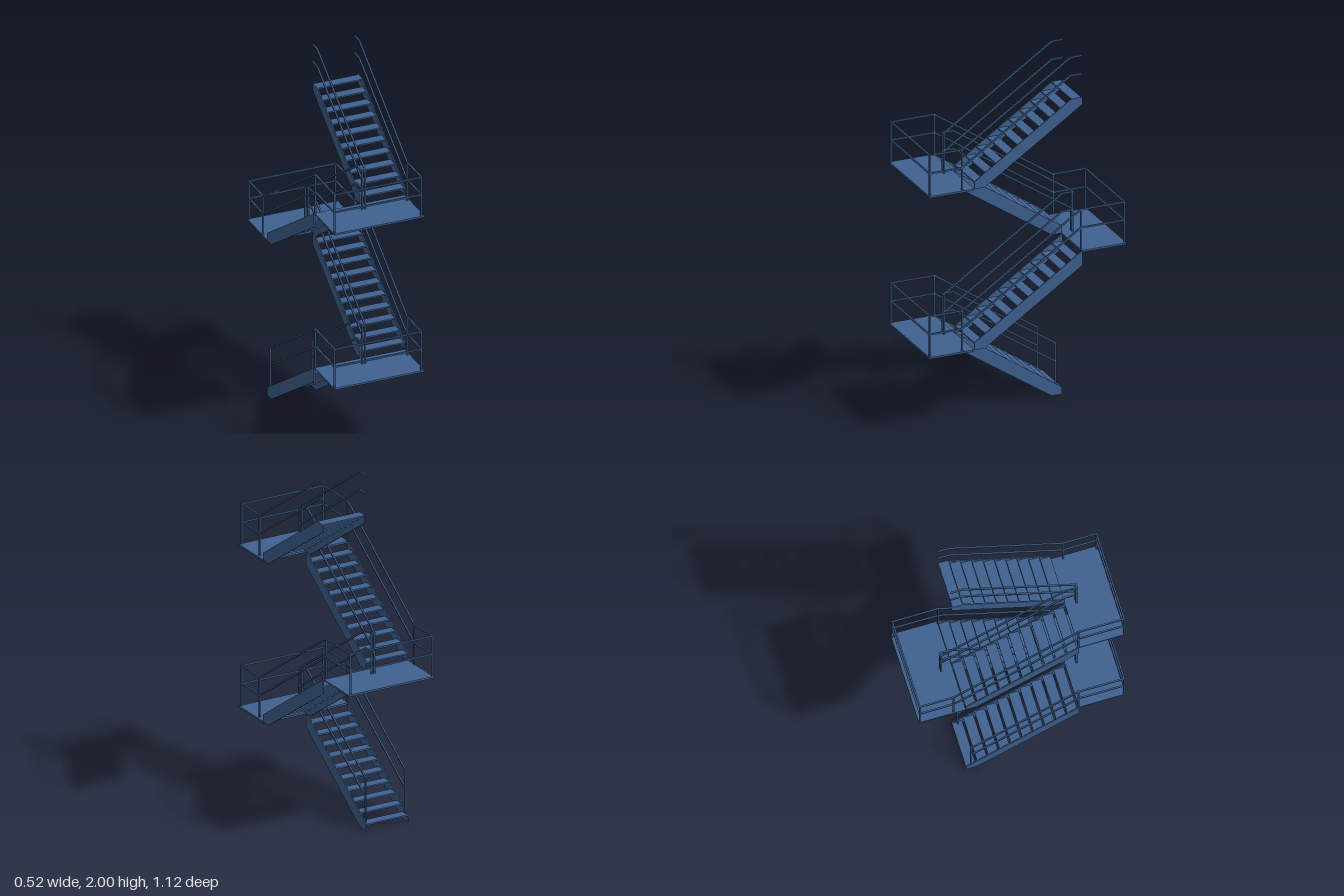
import * as THREE from 'three';

const STOREY = 0.4525;              // rise of one flight
const HALF = 0.306;                 // half run of a flight
const STEPS = 11;
const RISE = STOREY / STEPS, GOING = HALF * 2 / 10;
const FLIGHTS = 4;
const POST_Z = 0.37, END_Z = 0.553, R = 0.0042;
const RAIL_H = 0.229, MID_H = 0.127; // rail heights above a landing
const OUTER = [-0.252, 0.239], INNER = [-0.015, 0.002];

const steel = new THREE.MeshStandardMaterial({ color: 0x3f6190 });

function add(parent, geometry, name, x = 0, y = 0, z = 0) {
  const mesh = new THREE.Mesh(geometry, steel);
  mesh.name = name;
  mesh.position.set(x, y, z);
  parent.add(mesh);
  return mesh;
}

// Square bar between two points, overlapping slightly at the joints
function bar(parent, a, b, name) {
  const mesh = add(parent, new THREE.BoxGeometry(2 * R, 2 * R, a.distanceTo(b) + R), name);
  mesh.position.copy(a).add(b).multiplyScalar(0.5);
  mesh.lookAt(b);
}

function railing(parent, points, name) {
  for (let i = 0; i + 1 < points.length; i++) bar(parent, points[i], points[i + 1], name);
}

function post(parent, x, z, bottom, top) {
  bar(parent, new THREE.Vector3(x, bottom, z), new THREE.Vector3(x, top, z), 'railPost');
}

// Two side plates and open treads; odd flights climb towards the back
function makeFlight(i) {
  const flight = new THREE.Group();
  flight.name = 'flight';
  flight.position.y = i * STOREY;
  const dir = i % 2 ? -1 : 1;
  const side = i % 2 ? 1 : -1;
  const last = i === FLIGHTS - 1;
  const slope = (STOREY - RISE) / (2 * HALF);

  const outline = [[-HALF, 0], [-HALF + 0.058, 0], [HALF, STOREY - 0.082]];
  if (last) outline.push([HALF, STOREY - RISE], [HALF - RISE / slope, STOREY - RISE]);
  else outline.push([HALF, STOREY]);
  outline.push([-HALF, RISE]);
  const shape = new THREE.Shape(outline.map(([u, y]) => new THREE.Vector2(dir * u, y)));
  const t = 0.006;
  const plate = new THREE.ExtrudeGeometry(shape, { depth: t, bevelEnabled: false });
  plate.rotateY(-Math.PI / 2);
  for (const x of [0.001, 0.258 - t]) {
    add(flight, plate, 'stringer', side > 0 ? x + t : -x);
  }

  const tread = new THREE.BoxGeometry(0.25, 0.008, GOING - 0.006);
  for (let k = 1; k < STEPS; k++) {
    const u = -HALF + (k - 1) * GOING + (GOING - 0.006) / 2;
    add(flight, tread, 'tread', side * 0.1295, k * RISE - 0.004, dir * u);
  }
  return flight;
}

// Platform with its corner, entry and centre posts
function makeLanding(i) {
  const landing = new THREE.Group();
  landing.name = 'landing';
  const y = (i + 1) * STOREY;
  const dir = i % 2 ? -1 : 1;
  add(landing, new THREE.BoxGeometry(0.51, 0.01, 0.254), 'platform', -0.001, y - 0.005, dir * 0.433);
  const arrive = OUTER[i % 2], leave = OUTER[1 - i % 2];
  const top = y + RAIL_H;
  post(landing, arrive, dir * HALF, y, top);
  post(landing, arrive, dir * END_Z, y, top);
  post(landing, leave, dir * END_Z, y, top);
  post(landing, leave, dir * POST_Z, y, top);
  for (const x of INNER) post(landing, x, dir * (POST_Z - 0.004), y, top);
  return landing;
}

// Continuous rail path climbing all flights and turning at each landing
function railPath(xs, turnZ, height) {
  const path = [];
  const slope = STOREY / (HALF + POST_Z);
  const put = (x, y, z) => path.push(new THREE.Vector3(x, y, z));
  put(xs[0], STOREY + height - slope * (HALF + 0.277), -0.277);
  for (let i = 0; i < FLIGHTS - 1; i++) {
    const dir = i % 2 ? -1 : 1;
    const y = (i + 1) * STOREY + height;
    const from = xs[i % 2], to = xs[1 - i % 2];
    put(from, y, dir * HALF);
    put(from, y, dir * turnZ);
    put(to, y, dir * turnZ);
    if (turnZ > POST_Z) put(to, y, dir * POST_Z);
  }
  // Short level ends at the top
  const base = (FLIGHTS - 1) * STOREY + height;
  const endY = base + slope * (POST_Z + 0.247);
  put(xs[1], endY, -0.247);
  put(xs[1], endY, -0.308);
  return path;
}

export function createModel() {
  const model = new THREE.Group();
  model.name = 'switchbackStaircase';
  for (let i = 0; i < FLIGHTS; i++) model.add(makeFlight(i));
  for (let i = 0; i < FLIGHTS - 1; i++) model.add(makeLanding(i));

  const rails = new THREE.Group();
  rails.name = 'handrails';
  model.add(rails);
  for (const [height, name] of [[RAIL_H - R, 'topRail'], [MID_H - R, 'midRail']]) {
    railing(rails, railPath(OUTER, END_Z, height), name);
    railing(rails, railPath(INNER, POST_Z, height), name);
  }
  // Posts at the foot of the stairs
  for (const x of [OUTER[0], INNER[0]]) post(rails, x, -0.277, RISE * 0.8, 0.289);
  return model;
}
